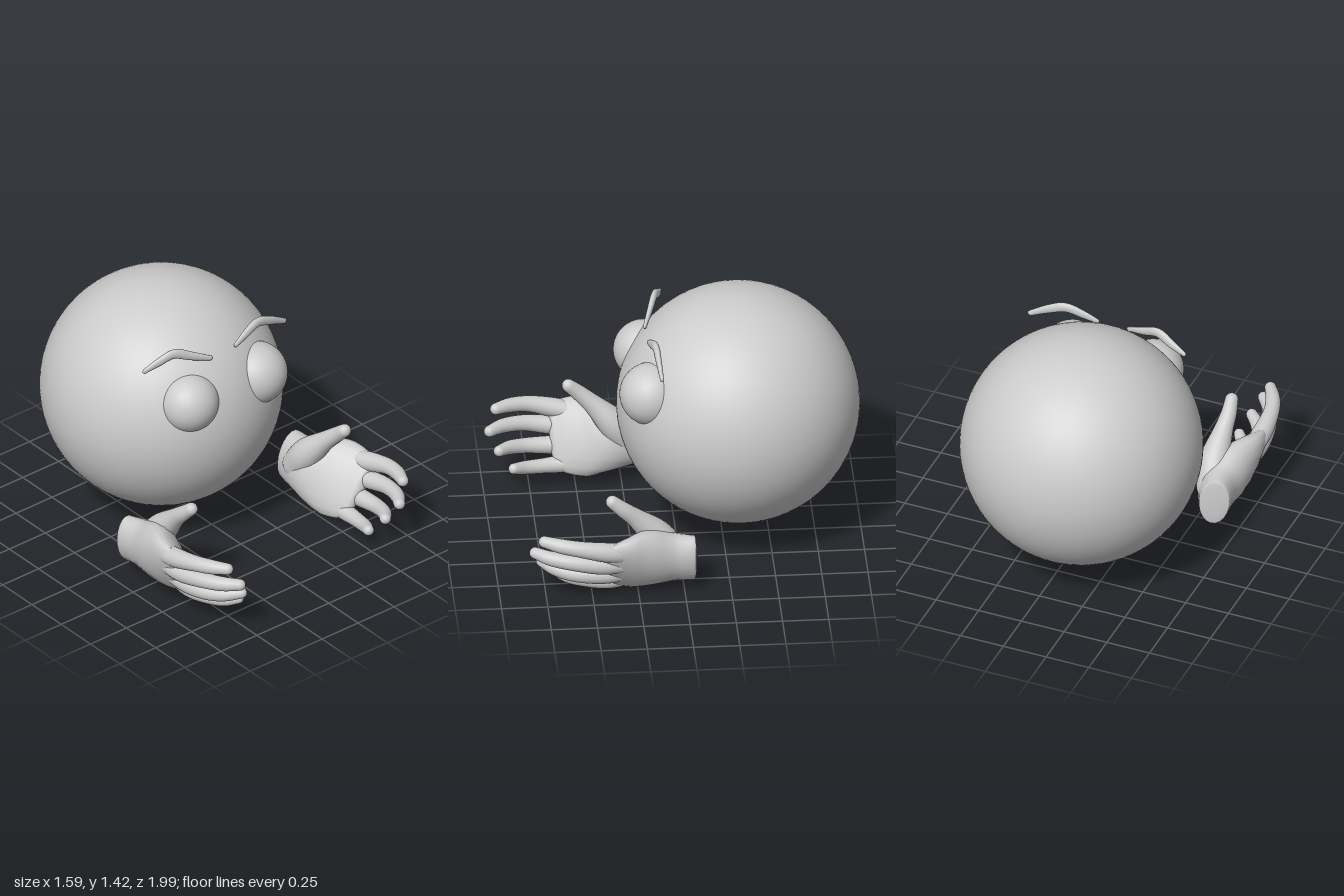
import * as THREE from 'three';

const material = new THREE.MeshStandardMaterial({ color: 0xcccccc });
const V = (x, y, z) => new THREE.Vector3(x, y, z);
const SIDES = 20;

// Skin a row of elliptical rings { c, u, v }; u x v points along the row
function loft(rings) {
  const pos = [], index = [];
  for (const { c, u, v } of rings) {
    for (let j = 0; j < SIDES; j++) {
      const a = (j / SIDES) * Math.PI * 2;
      pos.push(...c.clone().addScaledVector(u, Math.cos(a)).addScaledVector(v, Math.sin(a)).toArray());
    }
  }
  for (let i = 0; i < rings.length - 1; i++) {
    for (let j = 0; j < SIDES; j++) {
      const k = (j + 1) % SIDES;
      const a = i * SIDES + j, b = i * SIDES + k;
      index.push(a, b, a + SIDES, b, b + SIDES, a + SIDES);
    }
  }
  const g = new THREE.BufferGeometry();
  g.setAttribute('position', new THREE.Float32BufferAttribute(pos, 3));
  g.setIndex(index);
  g.computeVertexNormals();
  return g;
}

// Round-ended tapered limb through points [x, y, z, radius]
function limb(points, ref, depth = 1) {
  const path = new THREE.CatmullRomCurve3(points.map(p => V(p[0], p[1], p[2])));
  const radius = new THREE.CatmullRomCurve3(points.map((p, i) => V(i, p[3], 0)));
  const rings = [];
  const ring = (t, bend) => {
    const dir = path.getTangent(t), r = radius.getPoint(t).y;
    const v = ref.clone().addScaledVector(dir, -ref.dot(dir)).normalize();
    const u = v.clone().cross(dir);
    const s = r * Math.max(Math.cos(bend), 0.001);
    rings.push({
      c: path.getPoint(t).addScaledVector(dir, r * Math.sin(bend)),
      u: u.multiplyScalar(s), v: v.multiplyScalar(s * depth),
    });
  };
  for (let i = 6; i > 0; i--) ring(0, -i / 6 * Math.PI / 2);
  for (let i = 0; i <= 24; i++) ring(i / 24, 0);
  for (let i = 1; i <= 6; i++) ring(1, i / 6 * Math.PI / 2);
  return loft(rings);
}

// Palm from wrist to knuckles: [x, y, z, half width, half thickness, tilt in degrees]
function palm() {
  const sections = [
    [0.59, 0.18, -0.055, 0.145, 0.085, 76],
    [0.58, 0.185, 0.05, 0.152, 0.105, 73],
    [0.598, 0.197, 0.18, 0.195, 0.125, 65],
    [0.632, 0.19, 0.31, 0.22, 0.095, 57],
    [0.652, 0.187, 0.41, 0.2, 0.06, 55],
    [0.66, 0.187, 0.46, 0.165, 0.035, 55],
  ];
  const centre = new THREE.CatmullRomCurve3(sections.map(s => V(s[0], s[1], s[2])));
  const size = new THREE.CatmullRomCurve3(sections.map(s => V(s[3], s[4], s[5] * Math.PI / 180)));
  const rings = [];
  const ring = (t, scale, dz) => {
    const s = size.getPoint(t);
    rings.push({
      c: centre.getPoint(t).add(V(0, 0, dz)),
      u: V(Math.cos(s.z), Math.sin(s.z), 0).multiplyScalar(s.x * scale),
      v: V(-Math.sin(s.z), Math.cos(s.z), 0).multiplyScalar(s.y * scale),
    });
  };
  // Softly rounded wrist end
  [[0.001, -0.012], [0.6, -0.011], [0.9, -0.007], [0.97, -0.003]].forEach(([s, dz]) => ring(0, s, dz));
  for (let i = 0; i <= 30; i++) ring(i / 30, 1, 0);
  ring(1, 0.6, 0.012);
  ring(1, 0.001, 0.015);
  return loft(rings);
}

const digits = {
  thumb: [[0.55, 0.2, 0.07, 0.09], [0.55, 0.31, 0.15, 0.085], [0.58, 0.43, 0.26, 0.054],
    [0.6, 0.5, 0.335, 0.043], [0.605, 0.55, 0.39, 0.036]],
  indexFinger: [[0.7, 0.28, 0.28, 0.055], [0.742, 0.315, 0.43, 0.054], [0.757, 0.35, 0.58, 0.044],
    [0.74, 0.365, 0.68, 0.04], [0.705, 0.375, 0.765, 0.032]],
  middleFinger: [[0.68, 0.22, 0.28, 0.055], [0.715, 0.225, 0.45, 0.053], [0.725, 0.25, 0.61, 0.044],
    [0.695, 0.265, 0.73, 0.04], [0.645, 0.275, 0.81, 0.032]],
  ringFinger: [[0.63, 0.15, 0.28, 0.055], [0.655, 0.133, 0.43, 0.052], [0.66, 0.145, 0.6, 0.043],
    [0.63, 0.165, 0.7, 0.039], [0.58, 0.185, 0.77, 0.031]],
  littleFinger: [[0.56, 0.09, 0.26, 0.055], [0.58, 0.058, 0.4, 0.05], [0.575, 0.06, 0.53, 0.041],
    [0.555, 0.075, 0.63, 0.037], [0.52, 0.1, 0.7, 0.03]],
};

// Flip a geometry in x, keeping its faces outward
function mirror(g) {
  g.scale(-1, 1, 1);
  const ix = g.index.array;
  for (let i = 0; i < ix.length; i += 3) [ix[i], ix[i + 1]] = [ix[i + 1], ix[i]];
  g.computeVertexNormals();
}

function add(parent, name, geometry) {
  const mesh = new THREE.Mesh(geometry, material);
  mesh.name = name;
  parent.add(mesh);
  return mesh;
}

// Hand with its origin at the wrist
function hand(name, mirrored) {
  const group = new THREE.Group();
  group.name = name;
  const part = (label, g) => {
    g.translate(-0.59, -0.18, 0.06);
    if (mirrored) mirror(g);
    add(group, label, g);
  };
  part('palm', palm());
  for (const [label, pts] of Object.entries(digits)) part(label, limb(pts, V(0, 1, 0)));
  return group;
}

export function createModel() {
  const model = new THREE.Group();
  model.name = 'faceWithHands';

  // Head and bulging eyes
  add(model, 'head', new THREE.IcosahedronGeometry(0.658, 14)).position.set(-0.073, 0.76, -0.341);
  add(model, 'leftEye', new THREE.IcosahedronGeometry(0.172, 8)).position.set(0.187, 0.975, 0.148);
  add(model, 'rightEye', new THREE.IcosahedronGeometry(0.164, 8)).position.set(-0.286, 0.985, 0.155);

  // Arched eyebrows, floating just off the brow
  const front = V(0, 0, 1);
  add(model, 'leftEyebrow', limb([[0.045, 1.213, 0.152, 0.014], [0.12, 1.243, 0.14, 0.024],
    [0.215, 1.273, 0.125, 0.028], [0.31, 1.243, 0.117, 0.025], [0.415, 1.192, 0.108, 0.016]], front, 0.65));
  add(model, 'rightEyebrow', limb([[-0.505, 1.218, 0.05, 0.015], [-0.425, 1.25, 0.068, 0.025],
    [-0.34, 1.282, 0.093, 0.028], [-0.24, 1.245, 0.125, 0.024], [-0.14, 1.208, 0.158, 0.014]], front, 0.65));

  // Open hands, the right one turned further inward
  const left = hand('leftHand', false);
  left.position.set(0.59, 0.18, -0.06);
  const right = hand('rightHand', true);
  right.position.set(-0.665, 0.24, 0.095);
  right.rotation.set(0, 0.14, -0.1);
  model.add(left, right);
  return model;
}
